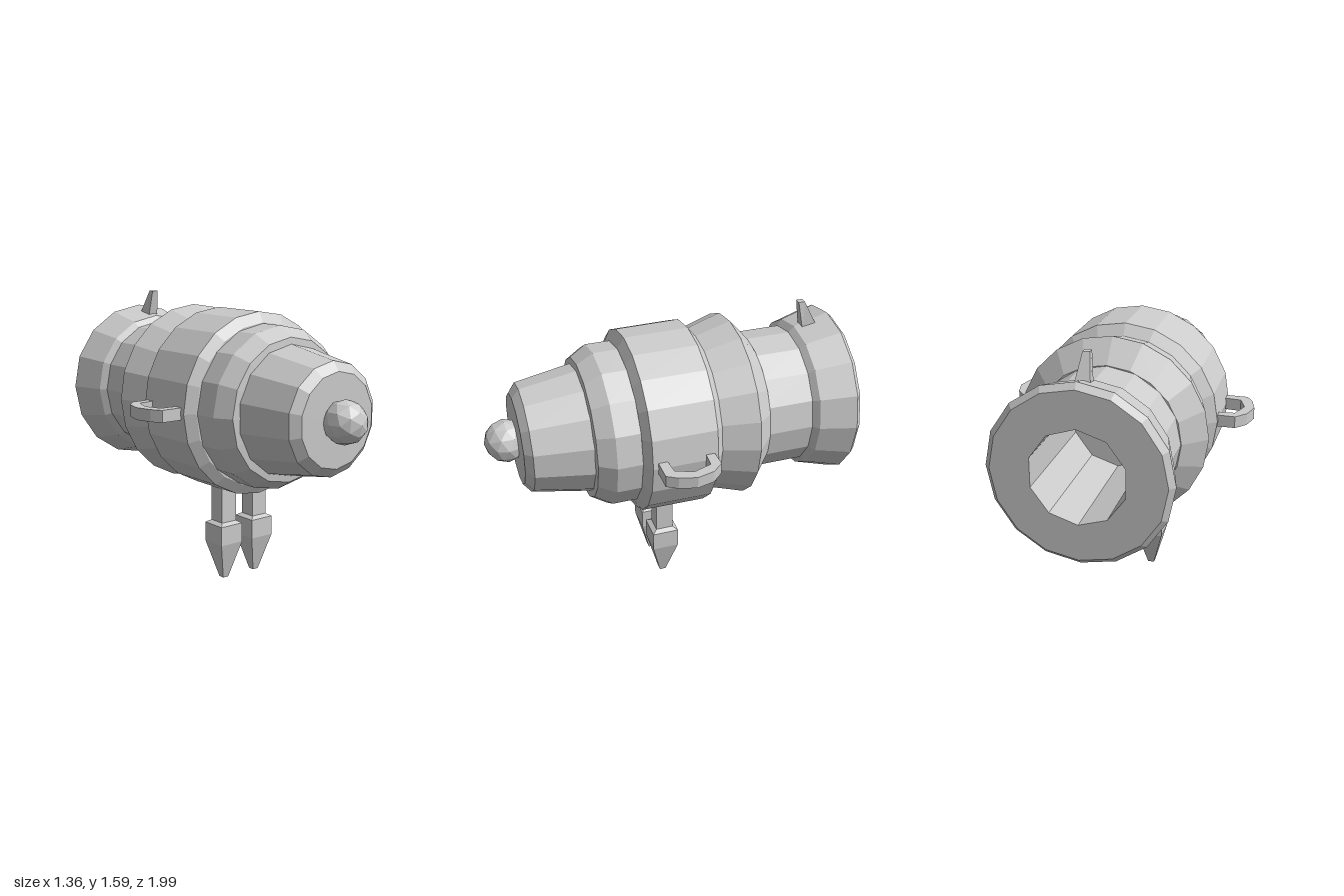
import * as THREE from 'three';

const AXIS = 1.023; // height of the barrel axis
const material = new THREE.MeshStandardMaterial({ color: 0xcccccc, flatShading: true });

function add(parent, name, geometry, x = 0, y = 0, z = 0) {
  const mesh = new THREE.Mesh(geometry, material);
  mesh.name = name;
  mesh.position.set(x, y, z);
  parent.add(mesh);
  return mesh;
}

// Faceted ring band along z, from [radius, z] pairs listed back to front
function band(profile, sides) {
  const points = profile.map(([r, z]) => new THREE.Vector2(r, z));
  return new THREE.LatheGeometry(points, sides).rotateX(Math.PI / 2);
}

function polygon(radius, sides) {
  return Array.from({ length: sides }, (_, i) => {
    const a = (i / sides) * Math.PI * 2 + Math.PI / 2;
    return new THREE.Vector2(Math.cos(a) * radius, Math.sin(a) * radius);
  });
}

// Square-section column: rings of [half width, y], bottom to top, closed at both ends
function squareColumn(rings) {
  const points = [[0, rings[0][1]], ...rings, [0, rings[rings.length - 1][1]]];
  return new THREE.LatheGeometry(
    points.map(([h, y]) => new THREE.Vector2(h * Math.SQRT2, y)), 4).rotateY(Math.PI / 4);
}

function handleGeometry() {
  const outline = [[0.46, -0.12], [0.6, -0.12], [0.655, -0.06], [0.68, 0.035], [0.655, 0.13],
    [0.62, 0.187], [0.46, 0.187], [0.46, 0.14], [0.59, 0.13], [0.625, 0.035], [0.59, -0.065], [0.46, -0.075]];
  const shape = new THREE.Shape(outline.map(([x, z]) => new THREE.Vector2(x, z)));
  const g = new THREE.ExtrudeGeometry(shape, { depth: 0.065, bevelEnabled: false });
  return g.rotateX(Math.PI / 2).translate(0, 0.0325, 0);
}

export function createModel() {
  const model = new THREE.Group();
  model.name = 'cannon';

  // Barrel, in bands that overlap slightly where their side counts change
  const barrel = new THREE.Group();
  barrel.name = 'barrel';
  barrel.position.y = AXIS;
  model.add(barrel);

  add(barrel, 'muzzle', band([[0.445, -0.99], [0.475, -0.96], [0.42, -0.765], [0.387, -0.735], [0.387, -0.46]], 16));
  add(barrel, 'middleBands', band([[0.34, -0.485], [0.39, -0.485], [0.512, -0.38], [0.452, -0.185],
    [0.51, -0.14], [0.507, 0.215], [0.45, 0.25], [0.38, 0.25]], 20));
  add(barrel, 'shoulder', band([[0.445, 0.23], [0.445, 0.385], [0.39, 0.475], [0.3, 0.485]], 16));
  add(barrel, 'breech', band([[0.357, 0.46], [0.3, 0.79], [0.25, 0.83], [0, 0.835]], 14));

  // Muzzle face with its hollow bore
  const face = new THREE.Shape(polygon(0.445, 16));
  face.holes.push(new THREE.Path(polygon(0.25, 10)));
  add(barrel, 'muzzleFace', new THREE.ShapeGeometry(face).rotateY(Math.PI), 0, 0, -0.99);
  add(barrel, 'bore', band([[0, -0.3], [0.25, -0.3], [0.25, -0.99]], 10));

  // Round knob on the closed end
  add(barrel, 'knob', new THREE.IcosahedronGeometry(0.117, 1), 0, 0, 0.883);

  // Sight: tapered block leaning toward the closed end
  const sight = new THREE.BoxGeometry(1, 1, 1);
  const p = sight.attributes.position;
  for (let i = 0; i < p.count; i++) {
    const top = p.getY(i) > 0;
    const front = p.getZ(i) > 0;
    const half = top ? 0.018 : front ? 0.032 : 0.045;
    const z = top ? (front ? -0.775 : -0.81) : (front ? -0.805 : -0.895);
    p.setXYZ(i, Math.sign(p.getX(i)) * half, top ? 0.57 : 0.4, z);
  }
  sight.computeVertexNormals();
  add(barrel, 'sight', sight);

  // Side handles, turned half round about the barrel's middle for the second one
  add(model, 'leftHandle', handleGeometry(), 0, AXIS, 0);
  const right = add(model, 'rightHandle', handleGeometry(), 0, AXIS, 0);
  right.rotation.z = Math.PI;

  // Legs with pointed feet
  for (const [side, x] of [['left', 0.114], ['right', -0.109]]) {
    const leg = new THREE.Group();
    leg.name = side + 'Leg';
    leg.position.set(x, 0, 0.042);
    model.add(leg);
    add(leg, 'post', new THREE.BoxGeometry(0.098, 0.32, 0.098), 0, 0.48, 0);
    add(leg, 'foot', squareColumn([[0.018, 0], [0.075, 0.215], [0.075, 0.325], [0.049, 0.34]]));
  }
  return model;
}
